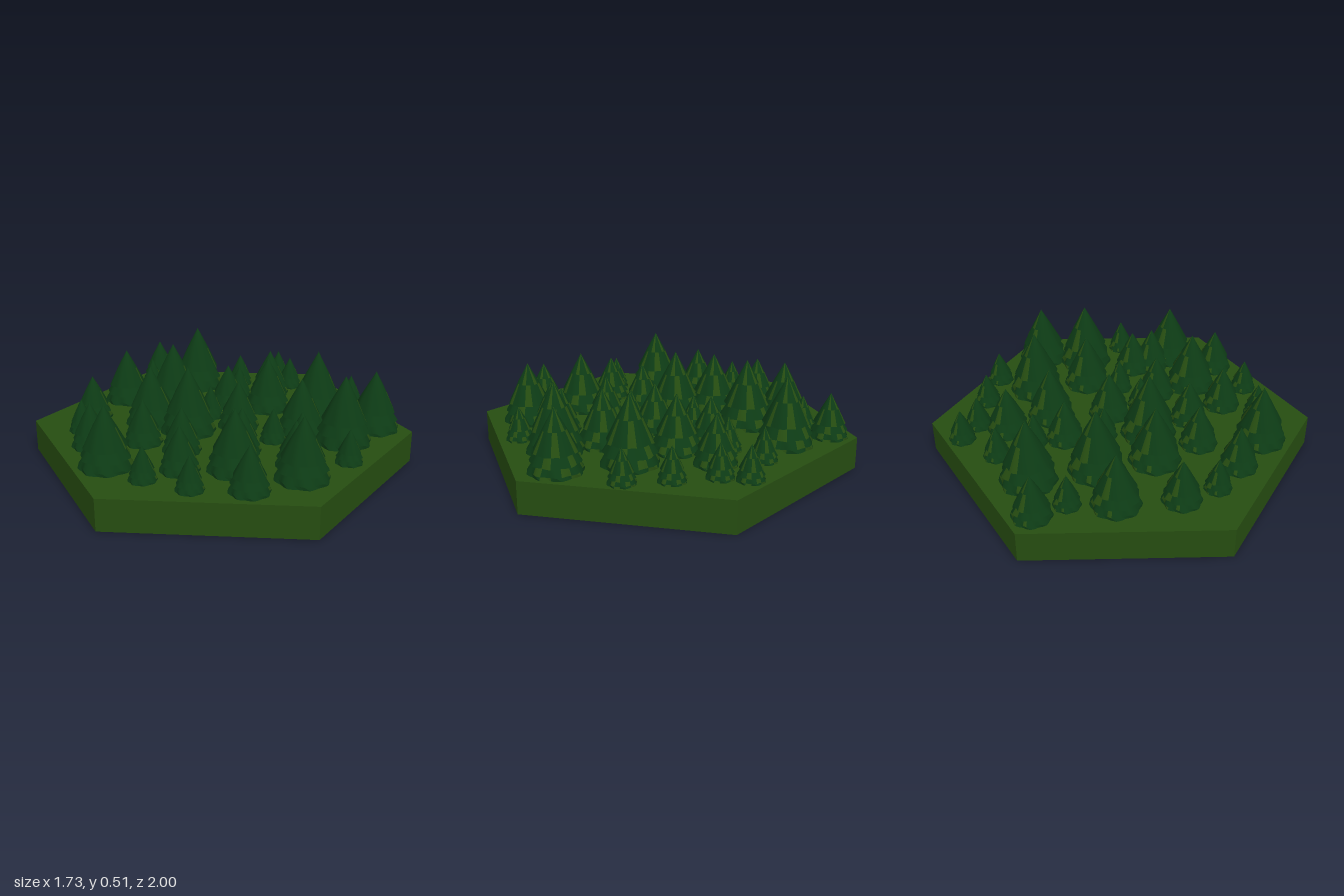
import * as THREE from 'three';
import { toCreasedNormals } from 'three/addons/utils/BufferGeometryUtils.js';

const GROUND = 0.165;
const SEGMENTS = 32;

// Tree sizes, each with the [x, z] spots where that size stands
const STANDS = [
  { name: 'sapling', radius: 0.07, height: 0.173, spots: [
    [-0.14, -0.82], [-0.02, -0.75], [-0.29, -0.63], [0.2, -0.72], [0.42, -0.67],
    [-0.18, -0.45], [-0.67, -0.27], [-0.13, -0.09], [0.32, 0], [0.76, 0.02],
    [0.15, 0.11], [-0.57, 0.45], [0.06, 0.73], [0.3, 0.69]] },
  { name: 'smallTree', radius: 0.1, height: 0.23, spots: [
    [-0.74, -0.43], [-0.15, -0.29], [0.53, 0.08], [0.26, 0.2], [-0.65, 0.27], [0.56, 0.19],
    [0.01, 0.36], [-0.21, 0.39], [-0.4, 0.57], [0.14, 0.55], [0.53, 0.55]] },
  { name: 'mediumTree', radius: 0.11, height: 0.25, spots: [[-0.06, -0.59], [0.07, -0.06]] },
  { name: 'wideTree', radius: 0.125, height: 0.29, spots: [
    [0.06, -0.37], [-0.67, -0.04], [0.38, -0.18]] },
  { name: 'largeTree', radius: 0.135, height: 0.312, spots: [
    [0.67, -0.44], [-0.34, 0.16], [0.66, 0.3], [0.35, 0.4], [-0.18, 0.71]] },
  { name: 'tallTree', radius: 0.145, height: 0.35, spots: [
    [-0.48, -0.46], [0.32, -0.46], [-0.41, -0.13], [0.62, -0.19], [-0.11, 0.14]] },
];

// Three stacked skirts in one unit-size turned shape, hems ruffled.
function treeGeometry() {
  const profile = [
    [0.97, 0], [0.94, 0.05], [0.74, 0.2],   // ground skirt
    [0.89, 0.17], [0.6, 0.38],              // middle skirt
    [0.78, 0.33], [0.42, 0.66], [0, 1],     // crown
  ].map(([r, y]) => new THREE.Vector2(r, y));
  const hems = [0, 1, 3, 5];
  const lathe = new THREE.LatheGeometry(profile, SEGMENTS);
  const pos = lathe.attributes.position;
  for (let k = 0; k < pos.count; k++) {
    const j = k % profile.length;
    if (!hems.includes(j)) continue;
    const angle = Math.floor(k / profile.length) / SEGMENTS * Math.PI * 2;
    const ruffle = 1 + 0.045 * Math.cos(angle * 8 + j);
    pos.setX(k, pos.getX(k) * ruffle);
    pos.setZ(k, pos.getZ(k) * ruffle);
  }
  const geometry = toCreasedNormals(lathe, 0.7);

  // Olive patches on the back of each tree, the rest pine green
  const bands = profile.length - 1;
  for (let i = 0; i < SEGMENTS; i++) {
    const back = Math.cos((i + 0.5) / SEGMENTS * Math.PI * 2) < -0.25;
    for (let j = 0; j < bands; j++) {
      const patch = back && (Math.floor(i / 2) + j) % 3 === 0;
      geometry.addGroup((i * bands + j) * 6, 6, patch ? 1 : 0);
    }
  }
  return geometry;
}

export function createModel() {
  const grass = new THREE.MeshStandardMaterial({ name: 'grass green', color: 0x264d11 });
  const pine = new THREE.MeshStandardMaterial({ name: 'pine green', color: 0x0d3b15 });
  const model = new THREE.Group();
  model.name = 'forestTile';

  // Hexagonal ground slab with corners at front and back
  const slab = toCreasedNormals(new THREE.CylinderGeometry(1, 1, GROUND, 6), 0.5);
  slab.clearGroups();
  const ground = new THREE.Mesh(slab, grass);
  ground.name = 'ground';
  ground.position.y = GROUND / 2;
  model.add(ground);

  // Forest
  const shape = treeGeometry();
  for (const { name, radius, height, spots } of STANDS) {
    for (const [x, z] of spots) {
      const tree = new THREE.Mesh(shape, [pine, grass]);
      tree.name = name;
      tree.position.set(x, GROUND, z);
      tree.scale.set(radius, height, radius);
      model.add(tree);
    }
  }
  return model;
}
